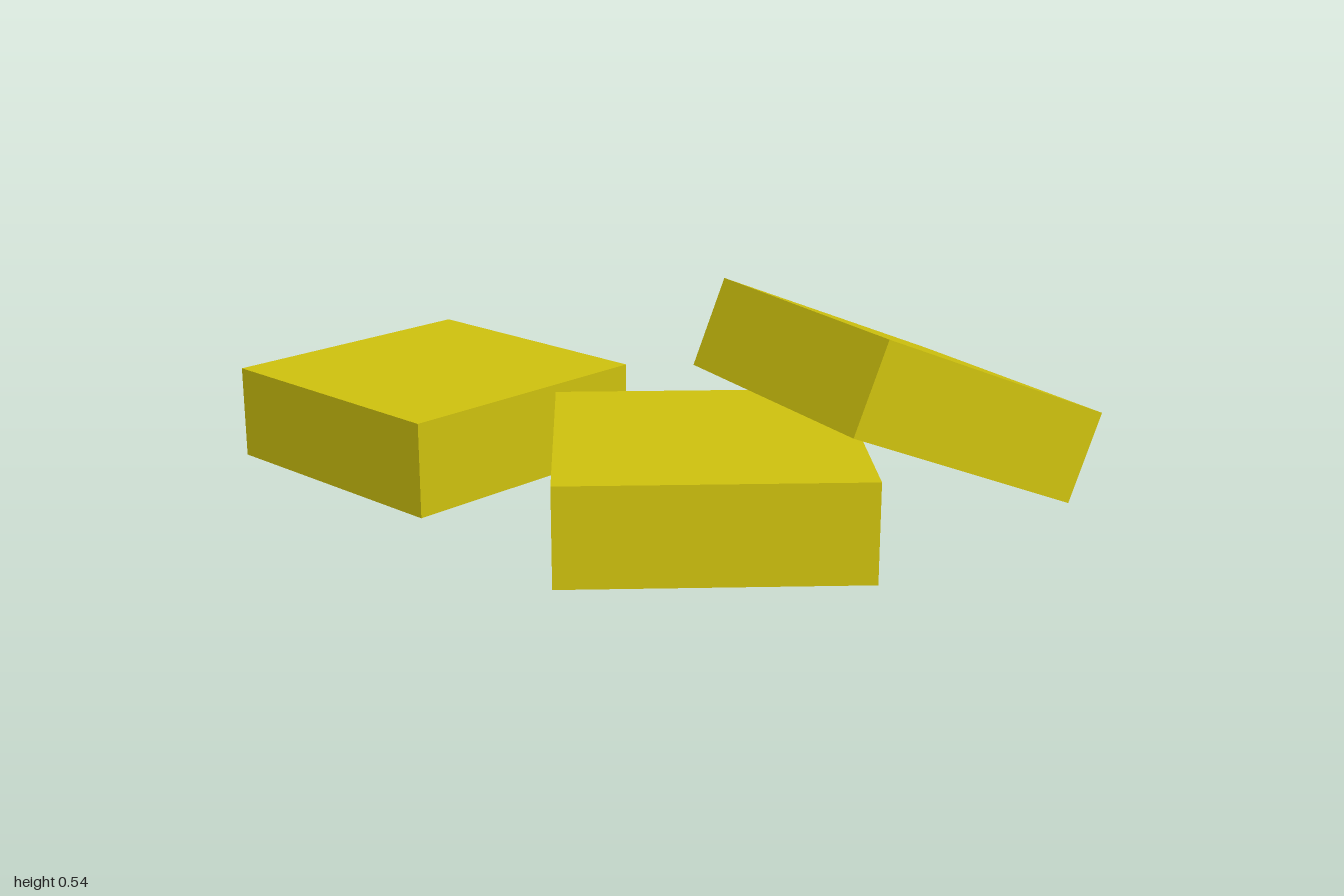
import * as THREE from 'three';

export function createModel() {
  const model = new THREE.Group();
  model.name = 'blockPile';

  const yellow = new THREE.MeshStandardMaterial({ color: 0xd0c30e });
  yellow.name = 'yellow';

  // All three blocks share one square slab shape
  const slab = new THREE.BoxGeometry(0.787, 0.263, 0.787);

  function addBlock(name, position, yaw, tilt = 0) {
    const block = new THREE.Mesh(slab, yellow);
    block.name = name;
    block.position.set(...position);
    block.rotation.set(0, yaw, tilt); // tilt about the block's own z, then turn about y
    model.add(block);
  }

  addBlock('backBlock', [-0.495, 0.143, -0.475], 0.35);
  addBlock('frontBlock', [-0.097, 0.143, 0.447], -0.435);
  // Leans on the edge of the front block
  addBlock('leaningBlock', [0.565, 0.274, 0.318], 0.043, -0.393);

  return model;
}
